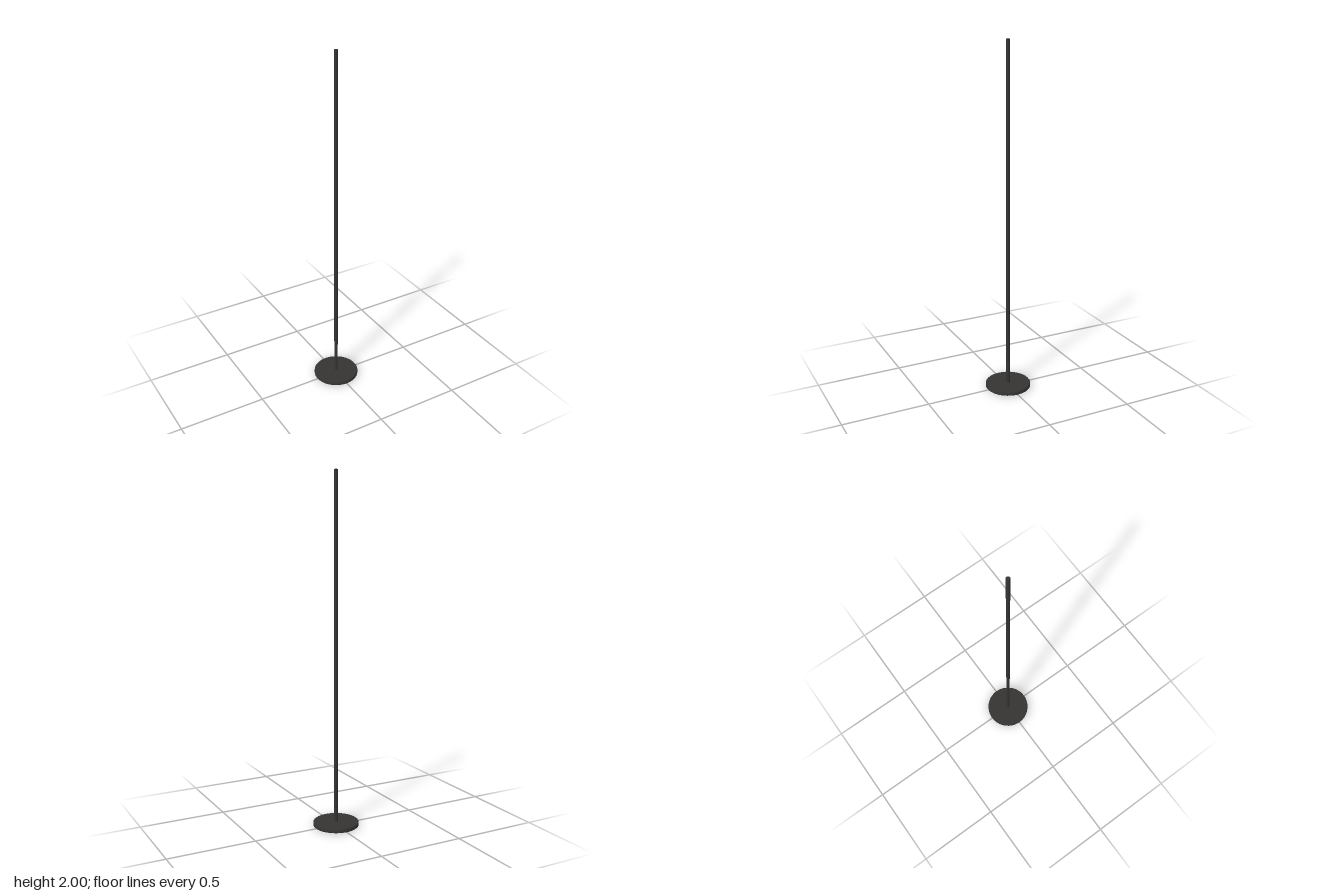
import * as THREE from 'three';
import { toCreasedNormals } from 'three/addons/utils/BufferGeometryUtils.js';

const material = new THREE.MeshStandardMaterial({ color: 0x353433 });

// Turned solid with crisp edges, from [radius, height] points listed bottom to top
function turned(name, points, segments) {
  const profile = points.map(([r, y]) => new THREE.Vector2(r, y));
  const geometry = toCreasedNormals(new THREE.LatheGeometry(profile, segments), 0.6);
  const mesh = new THREE.Mesh(geometry, material);
  mesh.name = name;
  return mesh;
}

export function createModel() {
  const group = new THREE.Group();
  group.name = 'poleStand';

  // Round weighted base: shallow socket underneath, small bevels on the rim
  group.add(turned('base', [
    [0, 0.006], [0.022, 0.006], [0.022, 0],
    [0.127, 0], [0.13, 0.003], [0.13, 0.02], [0.128, 0.023], [0, 0.023],
  ], 64));

  // Slim upright with a lightly eased top edge
  group.add(turned('pole', [
    [0, 0.02], [0.0105, 0.02], [0.0105, 1.998], [0.009, 2], [0, 2],
  ], 32));

  return group;
}
